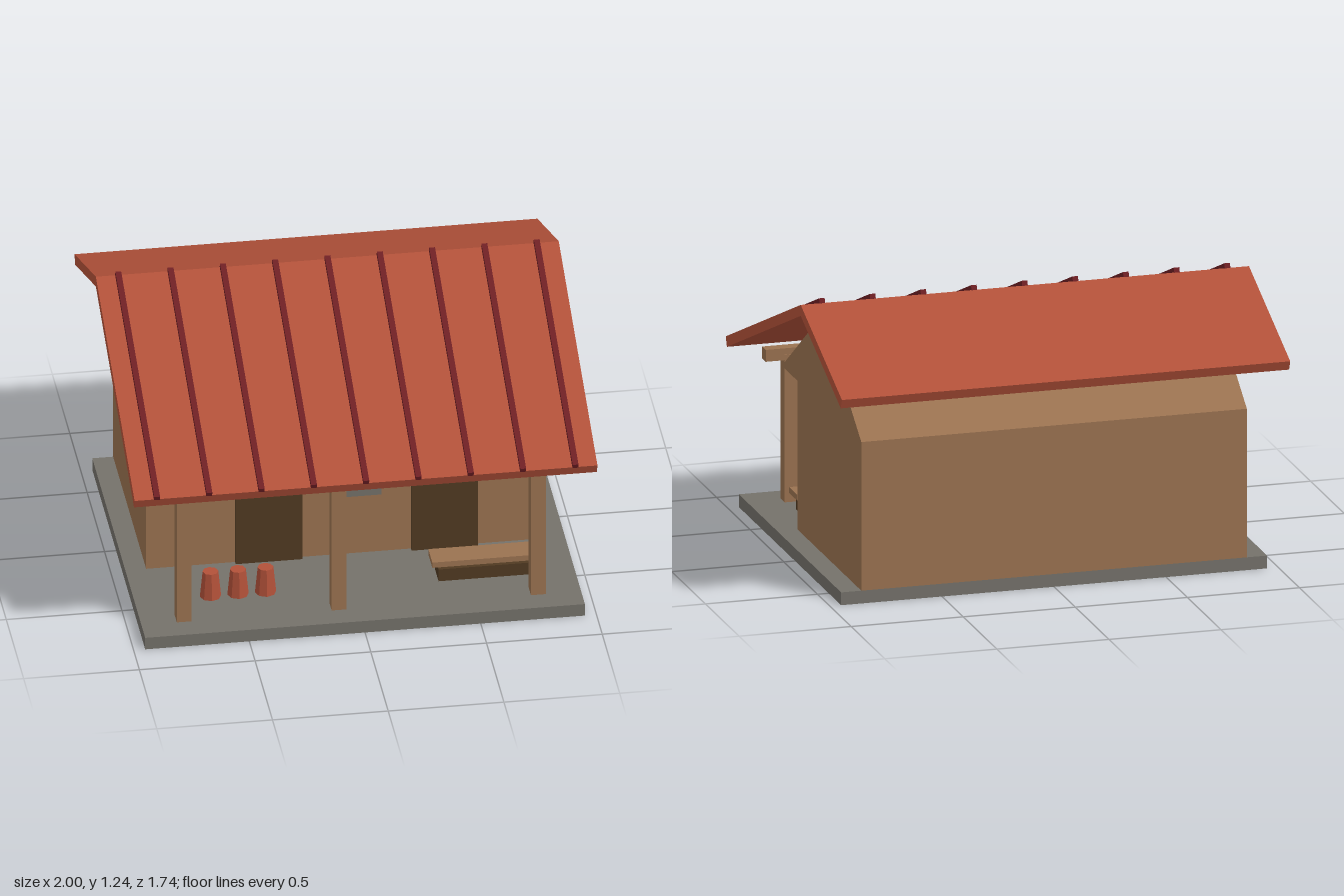
import * as THREE from 'three';

const mat = (name, color) => {
  const m = new THREE.MeshStandardMaterial({ color });
  m.name = name;
  return m;
};

export function createModel() {
  const house = new THREE.Group();
  house.name = 'porchHouse';

  const tan = mat('tan wood', 0x9a7250);
  const red = mat('roof red', 0xb25139);
  const maroon = mat('dark rib red', 0x6e1f24);
  const grey = mat('stone grey', 0x74716a);
  const brown = mat('dark brown', 0x503a22);

  const add = (name, geometry, material) => {
    const mesh = new THREE.Mesh(geometry, material);
    mesh.name = name;
    house.add(mesh);
    return mesh;
  };
  // Box given by its limits on each axis
  const box = (name, material, [x0, x1], [y0, y1], [z0, z1]) => {
    const mesh = add(name, new THREE.BoxGeometry(x1 - x0, y1 - y0, z1 - z0), material);
    mesh.position.set((x0 + x1) / 2, (y0 + y1) / 2, (z0 + z1) / 2);
    return mesh;
  };

  // Slab and walls
  const floor = 0.057;
  box('floorSlab', grey, [-0.95, 0.95], [0, floor], [-0.685, 0.835]);
  box('walls', tan, [-0.86, 0.86], [floor, 0.72], [-0.685, 0.264]);

  // Loft: two gable ends and two slopes, open underneath
  const w = 0.86;
  const [front, back, apex] = [[0.72, 0.497], [0.72, -0.685], [1.118, -0.1]];
  const corners = [-w, w].flatMap((x) => [front, back, apex].map(([y, z]) => [x, y, z]));
  const faces = [
    [0, 2, 1], [3, 4, 5],
    [0, 3, 5], [0, 5, 2],
    [1, 2, 5], [1, 5, 4],
  ];
  const loft = new THREE.BufferGeometry();
  loft.setAttribute('position', new THREE.Float32BufferAttribute(
    faces.flat().flatMap((i) => corners[i]), 3));
  loft.computeVertexNormals();
  add('gableLoft', loft, tan);

  // Roof: one bent profile in (z, y), extruded along x
  const eave = [0.863, 0.758];
  const ridge = [-0.25, 1.219];
  const profile = new THREE.Shape([
    eave, ridge, [-0.863, 0.971], [-0.846, 0.929], [-0.25, 1.17], [0.846, 0.716],
  ].map(([z, y]) => new THREE.Vector2(-z, y)));
  const roof = new THREE.ExtrudeGeometry(profile, { depth: 2, bevelEnabled: false });
  roof.translate(0, 0, -1);
  roof.rotateY(Math.PI / 2);
  add('roof', roof, red);

  // Raised ribs on the front slope
  const dz = eave[0] - ridge[0];
  const dy = ridge[1] - eave[1];
  const angle = Math.atan2(dy, dz);
  const ribGeometry = new THREE.BoxGeometry(0.025, 0.022, Math.hypot(dz, dy) + 0.006);
  for (let i = -4; i <= 4; i++) {
    const rib = add('roofRib', ribGeometry, maroon);
    rib.rotation.x = angle;
    rib.position.set(i * 0.226,
      (eave[1] + ridge[1]) / 2 + 0.01 * Math.cos(angle),
      (eave[0] + ridge[0]) / 2 + 0.01 * Math.sin(angle));
  }

  // Porch posts and beam
  for (const x of [-0.765, -0.096, 0.765]) {
    box('porchPost', tan, [x - 0.032, x + 0.032], [floor, 0.715], [0.663, 0.727]);
  }
  box('porchBeam', tan, [-0.88, 0.88], [0.69, 0.743], [0.668, 0.722]);

  // Doors and window
  for (const x of [-0.332, 0.428]) {
    box('door', brown, [x - 0.144, x + 0.144], [floor, 0.55], [0.26, 0.283]);
  }
  box('window', grey, [-0.059, 0.153], [0.35, 0.56], [0.26, 0.286]);

  // Bench
  box('benchSeat', tan, [0.332, 0.808], [0.13, 0.156], [0.445, 0.56]);
  box('benchBase', brown, [0.36, 0.78], [floor, 0.115], [0.455, 0.553]);

  // Upturned pots
  const potGeometry = new THREE.CylinderGeometry(0.034, 0.046, 0.123, 8).toNonIndexed();
  potGeometry.computeVertexNormals();
  for (const x of [-0.622, -0.503, -0.384]) {
    add('pot', potGeometry, red).position.set(x, floor + 0.0615, 0.528);
  }

  return house;
}
